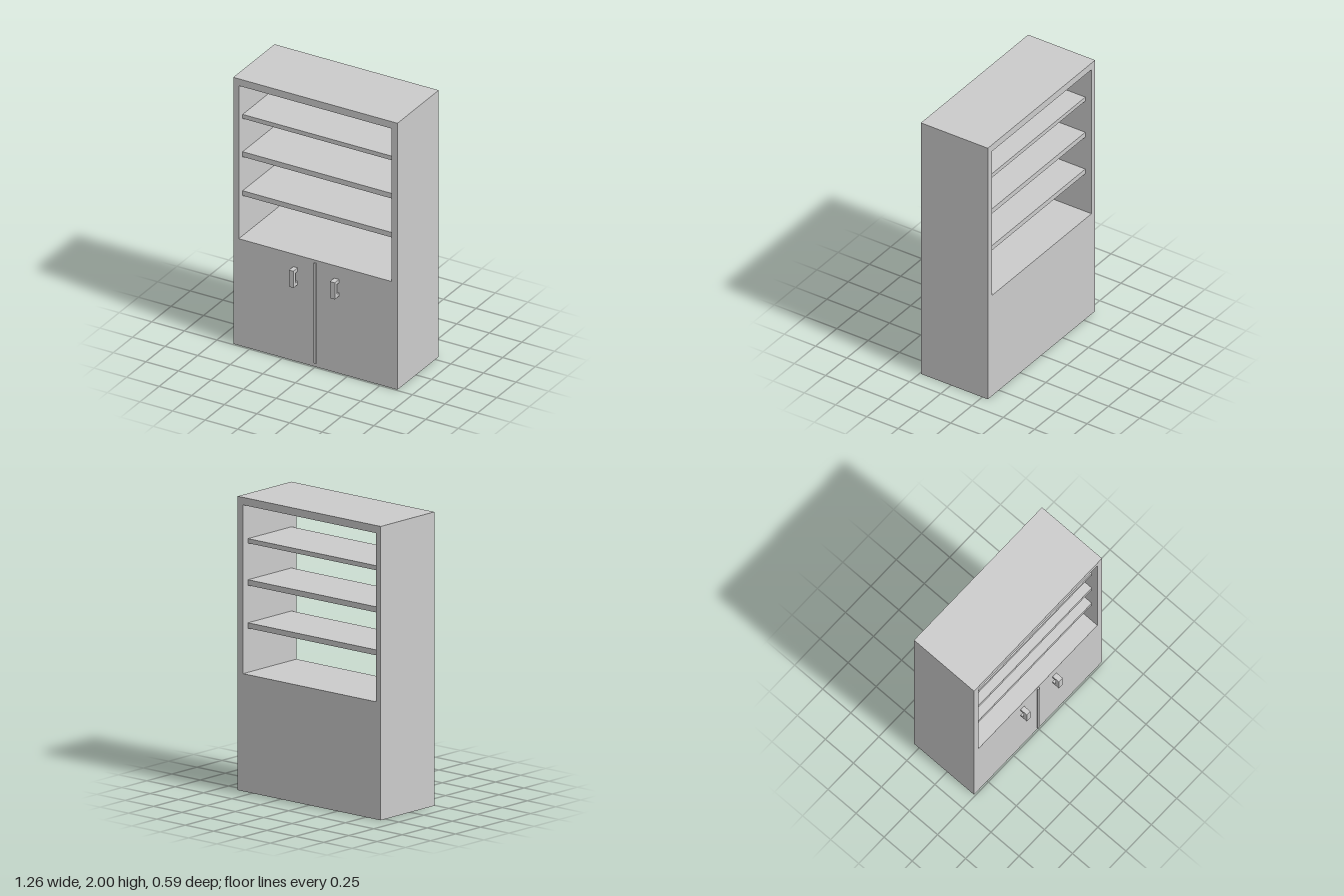
import * as THREE from 'three';

const material = new THREE.MeshStandardMaterial({ color: 0xcccccc, flatShading: true });

// Box given by its minimum and maximum corners
function box(name, [x0, y0, z0], [x1, y1, z1]) {
  const mesh = new THREE.Mesh(new THREE.BoxGeometry(x1 - x0, y1 - y0, z1 - z0), material);
  mesh.position.set((x0 + x1) / 2, (y0 + y1) / 2, (z0 + z1) / 2);
  mesh.name = name;
  return mesh;
}

function rectangle(x0, y0, x1, y1, Type = THREE.Shape) {
  return new Type([[x0, y0], [x1, y0], [x1, y1], [x0, y1]].map(p => new THREE.Vector2(...p)));
}

export function createModel() {
  const model = new THREE.Group();
  model.name = 'bookcase';
  const back = -0.295, front = 0.24;

  // Carcass: closed cupboard below, opening right through above
  const outline = rectangle(-0.63, 0, 0.63, 2);
  outline.holes.push(rectangle(-0.588, 0.8, 0.584, 1.948, THREE.Path));
  const carcass = new THREE.Mesh(
    new THREE.ExtrudeGeometry(outline, { depth: front - back, bevelEnabled: false }), material);
  carcass.position.z = back;
  carcass.name = 'carcass';
  model.add(carcass);

  // Shelves, set in from the front and back
  [[1.1, 1.137], [1.392, 1.43], [1.679, 1.71]].forEach(([y0, y1], i) => {
    model.add(box(`shelf${i + 1}`, [-0.588, y0, back + 0.05], [0.584, y1, front - 0.05]));
  });

  // Strip between the two doors
  model.add(box('doorStrip', [-0.01, 0.03, front], [0.01, 0.78, front + 0.01]));

  // Bracket handles: a grip on two stubs
  for (const [name, x0, x1] of [['rightHandle', -0.17, -0.136], ['leftHandle', 0.144, 0.181]]) {
    const handle = new THREE.Group();
    handle.name = name;
    const profile = new THREE.Shape([
      [0, 0.58], [0.055, 0.58], [0.055, 0.705], [0, 0.705],
      [0, 0.68], [0.026, 0.68], [0.026, 0.605], [0, 0.605],
    ].map(p => new THREE.Vector2(...p)));
    const grip = new THREE.Mesh(
      new THREE.ExtrudeGeometry(profile, { depth: x1 - x0, bevelEnabled: false }), material);
    grip.rotation.y = -Math.PI / 2;
    grip.position.set(x1, 0, front);
    grip.name = 'grip';
    handle.add(grip);
    model.add(handle);
  }
  return model;
}
